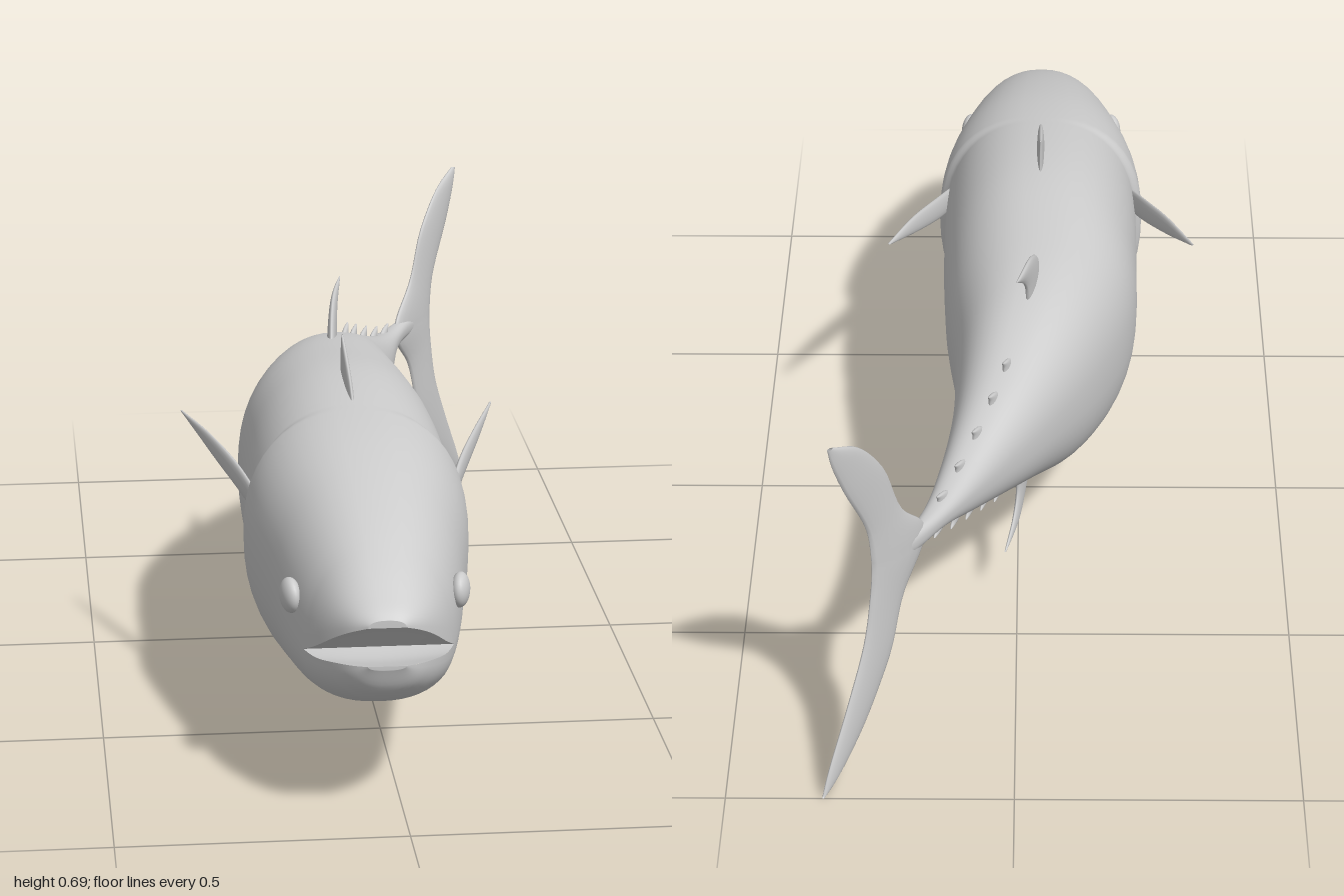
import * as THREE from 'three';
import { mergeVertices } from 'three/addons/utils/BufferGeometryUtils.js';

// Body stations, tail to nose: z, spine x, half width, top y, bottom y, widest y
const STATIONS = [
  [-1, .33, .004, .395, .385, .39],
  [-.875, .245, .005, .4, .38, .39],
  [-.8, .19, .013, .408, .37, .39],
  [-.7, .14, .024, .408, .363, .388],
  [-.6, .1, .043, .425, .33, .382],
  [-.4, .028, .09, .487, .26, .375],
  [-.2, -.02, .138, .547, .175, .365],
  [0, -.04, .178, .577, .122, .36],
  [.2, -.04, .187, .597, .1, .36],
  [.4, -.04, .188, .588, .106, .36],
  [.6, -.04, .178, .56, .125, .35],
  [.8, -.04, .145, .502, .172, .305],
  [.9, -.04, .113, .455, .208, .285],
  [.96, -.04, .078, .418, .24, .285],
  [.985, -.04, .055, .401, .265, .285],
  [1, -.04, .032, .388, .3, .285],
];
const profile = new THREE.CubicInterpolant(
  STATIONS.map(s => s[0]), STATIONS.flatMap(s => s.slice(1)), 5);

const MOUTH_Z = .86;

function station(z) {
  const [x, hw, top, bottom, mid] = profile.evaluate(z);
  // gill cover: swells slowly from the head, then drops off sharply
  const gill = .014 * THREE.MathUtils.smoothstep(z, .415, .44) * (1 - THREE.MathUtils.smoothstep(z, .45, .7));
  const open = Math.max(0, (z - MOUTH_Z) / (1 - MOUTH_Z));
  return { x, hw: hw + gill, top, bottom, upperLip: mid + .09 * open, lowerLip: mid + .022 * open };
}

// Skin a grid of points, given as rows of Vector3
function skin(rows) {
  const n = rows[0].length, index = [];
  for (let i = 0; i < rows.length - 1; i++) {
    for (let j = 0; j < n - 1; j++) {
      const a = i * n + j, b = a + n;
      index.push(a, b, a + 1, b, b + 1, a + 1);
    }
  }
  return { points: rows.flat(), index };
}

function toGeometry(...parts) {
  const points = [], index = [];
  for (const p of parts) {
    const base = points.length;
    points.push(...p.points);
    index.push(...p.index.map(i => i + base));
  }
  const geo = new THREE.BufferGeometry().setFromPoints(points);
  geo.setIndex(index);
  const welded = mergeVertices(geo, 1e-5);
  welded.computeVertexNormals();
  return welded;
}

const range = (n, f) => Array.from({ length: n + 1 }, (_, i) => f(i / n));

// Stations from nose to tail, closer together at the mouth and the gill edge
const bodyZ = [
  ...range(20, t => 1 - (1 - MOUTH_Z) * t * t),
  ...range(18, t => .84 - .38 * t),
  ...range(6, t => .45 - .04 * t),
  ...range(50, t => .39 - 1.23 * t),
];

// Upper or lower half of the body; the first row is closed flat at the lip
function halfBody(upper) {
  const row = (z, open) => {
    const s = station(z);
    const lip = upper ? s.upperLip : s.lowerLip;
    const height = (upper ? s.top - lip : lip - s.bottom) * open;
    return range(24, t => {
      const a = Math.PI * (upper ? t : t + 1);
      const c = Math.cos(a), d = Math.sin(a);
      const round = v => Math.sign(v) * Math.pow(Math.abs(v) < 1e-9 ? 0 : Math.abs(v), .87);
      return new THREE.Vector3(s.x + s.hw * round(c), lip + height * round(d), z);
    });
  };
  return skin([row(1, 0), ...bodyZ.map(z => row(z, 1))]);
}

// Roof or floor of the mouth
function mouthLining(upper) {
  return skin(range(16, t => {
    const z = 1 - (1 - MOUTH_Z) * t, s = station(z);
    const lip = upper ? s.upperLip : s.lowerLip;
    return range(12, u => {
      const w = (2 * u - 1) * (upper ? 1 : -1);
      const hollow = .012 * (1 - w * w) * Math.sin(Math.PI * t);
      return new THREE.Vector3(s.x + s.hw * w, lip + (upper ? hollow : -hollow * .5), z);
    });
  }));
}

// Lens-section fin through pairs of leading and trailing points, bent with the spine
function finGeometry(sections, thickness, steps = 14) {
  const lead = sections.map(s => new THREE.Vector3(...s.slice(0, 3)));
  const trail = sections.map(s => new THREE.Vector3(...s.slice(3)));
  const m = Math.floor((sections.length - 1) / 2);
  const normal = trail[m].clone().sub(lead[m])
    .cross(lead[lead.length - 1].clone().sub(lead[0])).normalize();
  const leadCurve = new THREE.CatmullRomCurve3(lead), trailCurve = new THREE.CatmullRomCurve3(trail);
  const maxChord = Math.max(...lead.map((p, i) => p.distanceTo(trail[i])));
  return toGeometry(skin(range(steps, t => {
    const p = leadCurve.getPoint(t), q = trailCurve.getPoint(t);
    const half = thickness * Math.sqrt(Math.min(1, p.distanceTo(q) / maxChord));
    return range(16, k => {
      const a = k * Math.PI * 2;
      const v = p.clone().lerp(q, (1 - Math.cos(a)) / 2).addScaledVector(normal, half * Math.sin(a));
      v.x += station(v.z).x;
      return v;
    });
  })));
}

export function createModel() {
  const group = new THREE.Group();
  const solid = new THREE.MeshStandardMaterial({ color: 0xcccccc });
  const thin = new THREE.MeshStandardMaterial({ color: 0xcccccc, side: THREE.DoubleSide });
  const add = (name, geo, mat = thin) => {
    const mesh = new THREE.Mesh(geo, mat);
    mesh.name = name;
    group.add(mesh);
    return mesh;
  };
  // fins in the middle plane: leading z, y, trailing z, y
  const midFin = (name, rows, thickness, steps) =>
    add(name, finGeometry(rows.map(([lz, ly, tz, ty]) => [0, ly, lz, 0, ty, tz]), thickness, steps));

  add('body', toGeometry(halfBody(true), halfBody(false)), solid);
  add('mouthRoof', toGeometry(mouthLining(true)));
  add('mouthFloor', toGeometry(mouthLining(false)));

  midFin('tailFin', [
    [-1, 0, -1, .004], [-.965, .022, -.985, .045], [-.9, .09, -.932, .155],
    [-.842, .19, -.893, .25], [-.805, .305, -.877, .335], [-.745, .375, -.873, .378],
    [-.745, .405, -.873, .405], [-.808, .475, -.882, .475], [-.848, .585, -.932, .585],
    [-.9, .655, -.957, .65], [-.958, .69, -.966, .688],
  ], .013, 50);
  midFin('frontDorsalFin', [
    [.43, .57, .18, .575], [.36, .608, .186, .605], [.28, .633, .191, .633], [.2, .655, .195, .655],
  ], .008);
  midFin('rearDorsalFin', [
    [-.06, .54, -.21, .53], [-.13, .592, -.225, .572], [-.195, .62, -.25, .598], [-.305, .632, -.303, .63],
  ], .01);
  midFin('analFin', [
    [-.18, .21, -.3, .225], [-.235, .163, -.297, .18], [-.29, .12, -.322, .14], [-.38, .1, -.378, .103],
  ], .01);

  // finlets along the back and belly of the tail
  for (let i = 0; i < 5; i++) {
    for (const s of [1, -1]) {
      const z = (s > 0 ? -.365 : -.415) - i * (s > 0 ? .076 : .066);
      const { top, bottom } = station(z);
      const y = s > 0 ? top : bottom, h = s * (.02 - i * .001);
      midFin(s > 0 ? 'upperFinlet' : 'lowerFinlet', [
        [z + .035, y - h * .7, z - .02, y - h], [z + .005, y + h * .4, z - .02, y + h * .1],
        [z - .026, y + h * .8, z - .027, y + h * .75],
      ], .008, 8);
    }
  }

  // paired parts
  for (const [s, side] of [[1, 'left'], [-1, 'right']]) {
    const flip = rows => rows.map(([a, b, c, d, e, f]) => [s * a, b, c, s * d, e, f]);
    add(side + 'PectoralFin', finGeometry(flip([
      [.175, .432, .43, .175, .388, .425], [.205, .458, .33, .2, .408, .34],
      [.245, .479, .22, .243, .443, .22], [.29, .489, .095, .288, .485, .097],
    ]), .007));
    add(side + 'PelvicFin', finGeometry(flip([
      [.065, .115, .41, .075, .12, .28], [.085, .092, .34, .088, .095, .265],
      [.098, .077, .27, .096, .08, .235], [.106, .07, .225, .104, .072, .222],
    ]), .005));
    const eye = add(side + 'Eye', new THREE.SphereGeometry(.031, 24, 16), solid);
    eye.scale.x = .55;
    eye.position.set(-.04 + s * .146, .368, .8);
    eye.rotation.y = s * -.25;
  }
  return group;
}
